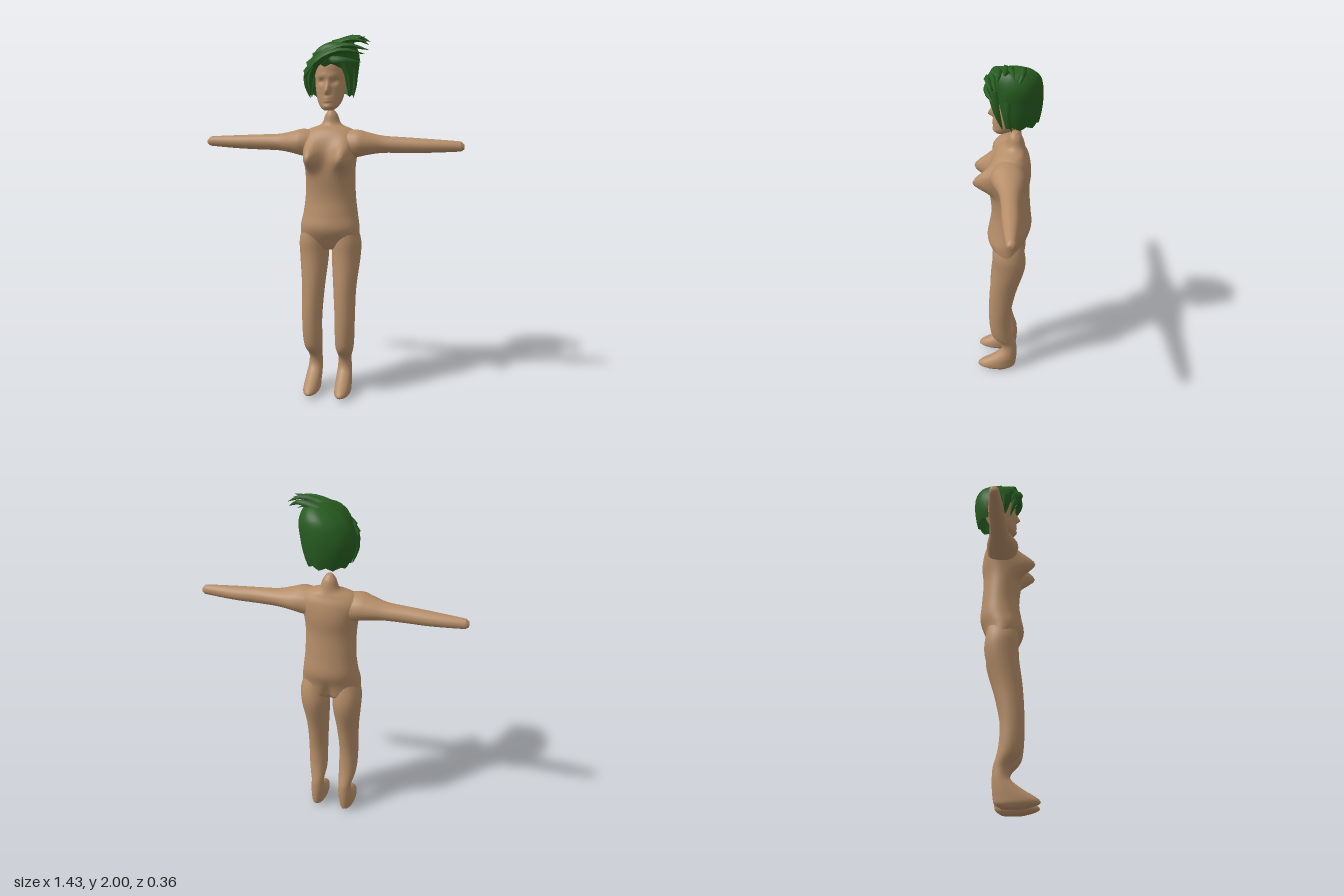
import * as THREE from 'three';

const skin = new THREE.MeshStandardMaterial({ color: 0xb58d68 });
skin.name = 'skin';
const green = new THREE.MeshStandardMaterial({ color: 0x275c20, side: THREE.DoubleSide });
green.name = 'hairGreen';

const gauss = (d, s) => Math.exp(-(d * d) / (s * s));
const smooth = THREE.MathUtils.smoothstep;

// Smooth value between the rows of a section table
function sample(rows, f) {
  const i = Math.min(Math.floor(f), rows.length - 2), t = f - i;
  const at = (k) => rows[Math.max(0, Math.min(rows.length - 1, k))];
  return rows[0].map((_, c) => {
    const [a, b, d, e] = [at(i - 1)[c], at(i)[c], at(i + 1)[c], at(i + 2)[c]];
    return b + 0.5 * t * (d - a + t * (2 * a - 5 * b + 4 * d - e + t * (3 * (b - d) + e - a)));
  });
}

// Loft of ellipses going up y; each row is [y, centreX, radiusX, centreZ, radiusZ]
function loft(rows, { segs = 24, steps = 4, rule = null, bottom = true } = {}) {
  const pos = [], idx = [], n = (rows.length - 1) * steps;
  const p = new THREE.Vector3();
  for (let j = 0; j <= n; j++) {
    const [y, cx, rx, cz, rz] = sample(rows, j / steps);
    for (let i = 0; i < segs; i++) {
      const a = (i / segs) * Math.PI * 2;
      p.set(cx + rx * Math.cos(a), y, cz + rz * Math.sin(a));
      if (rule) rule(p, Math.sin(a), a);
      pos.push(p.x, p.y, p.z);
    }
  }
  for (let j = 0; j < n; j++) for (let i = 0; i < segs; i++) {
    const a = j * segs + i, b = j * segs + (i + 1) % segs;
    idx.push(a, a + segs, b, b, a + segs, b + segs);
  }
  // end caps
  const cap = (row, ring, up) => {
    const c = pos.length / 3;
    pos.push(row[1], row[0], row[3]);
    for (let i = 0; i < segs; i++) {
      const a = ring * segs + i, b = ring * segs + (i + 1) % segs;
      if (up) idx.push(c, b, a); else idx.push(c, a, b);
    }
  };
  if (bottom) cap(rows[0], 0, false);
  cap(rows[rows.length - 1], n, true);
  const g = new THREE.BufferGeometry();
  g.setAttribute('position', new THREE.Float32BufferAttribute(pos, 3));
  g.setIndex(idx);
  g.computeVertexNormals();
  return g;
}

// Copy reflected to the other side, with faces turned back outward
function mirror(geo) {
  const g = geo.clone().scale(-1, 1, 1), ix = g.index;
  for (let i = 0; i < ix.count; i += 3) {
    const a = ix.getX(i);
    ix.setX(i, ix.getX(i + 1));
    ix.setX(i + 1, a);
  }
  g.computeVertexNormals();
  return g;
}

// Tapering lock of hair along a curve
function lock(points, r) {
  const n = 8, sides = 5;
  const curve = new THREE.CatmullRomCurve3(points.map((q) => new THREE.Vector3(...q)));
  const g = new THREE.TubeGeometry(curve, n, r, sides, false);
  const P = g.attributes.position, v = new THREE.Vector3();
  for (let j = 0; j <= n; j++) {
    const c = curve.getPointAt(j / n);
    const k = Math.pow(1 - j / n, 0.7);
    for (let i = 0; i <= sides; i++) {
      const m = j * (sides + 1) + i;
      v.fromBufferAttribute(P, m).sub(c).multiplyScalar(k).add(c);
      P.setXYZ(m, v.x, v.y, v.z);
    }
  }
  g.computeVertexNormals();
  return g;
}

export function createModel() {
  const model = new THREE.Group();
  const add = (name, geo, mat = skin, parent = model) => {
    const m = new THREE.Mesh(geo, mat);
    m.name = name;
    parent.add(m);
  };

  // Torso with neck stump; the rule shapes chest, navel line and seat
  add('torso', loft([
    [0.85, 0, 0.06, -0.01, 0.05],
    [0.89, 0, 0.155, -0.015, 0.08],
    [0.97, 0, 0.165, -0.005, 0.108],
    [1.05, 0, 0.152, -0.022, 0.115],
    [1.15, 0, 0.14, -0.025, 0.105],
    [1.28, 0, 0.138, -0.015, 0.107],
    [1.38, 0, 0.148, -0.02, 0.11],
    [1.46, 0, 0.165, -0.025, 0.095],
    [1.505, 0, 0.125, -0.03, 0.072],
    [1.535, 0, 0.056, -0.045, 0.046],
    [1.585, 0, 0.034, -0.045, 0.034],
    [1.612, 0, 0.014, -0.042, 0.014],
  ], {
    segs: 48, steps: 5, rule: (p) => {
      const y = p.y, front = smooth(p.z, -0.02, 0.04);
      const chest = gauss(y - 1.36, y < 1.36 ? 0.055 : 0.075);
      p.z += 0.105 * front * chest * gauss(Math.abs(p.x) - 0.092, 0.046);
      if (p.z < -0.05) p.z += 0.03 * gauss(p.x, 0.025) * gauss(y - 0.89, 0.07);
    },
  }));

  // Legs with feet
  const leg = loft([
    [0.005, 0.09, 0.03, 0.04, 0.06],
    [0.025, 0.09, 0.044, 0.058, 0.108],
    [0.05, 0.09, 0.046, 0.054, 0.112],
    [0.1, 0.088, 0.044, 0.012, 0.075],
    [0.15, 0.086, 0.04, -0.018, 0.046],
    [0.21, 0.086, 0.038, -0.016, 0.044],
    [0.27, 0.09, 0.05, 0.018, 0.06],
    [0.34, 0.093, 0.055, 0.033, 0.062],
    [0.46, 0.094, 0.057, 0.037, 0.064],
    [0.63, 0.09, 0.064, 0.018, 0.076],
    [0.8, 0.091, 0.08, -0.015, 0.09],
    [0.9, 0.093, 0.08, -0.015, 0.09],
    [0.99, 0.085, 0.06, -0.01, 0.075],
  ]);
  add('leftLeg', leg);
  add('rightLeg', mirror(leg));

  // Outstretched arms, lofted upright and then laid along x
  const arm = loft([
    [0.05, -1.42, 0.08, -0.02, 0.07],
    [0.15, -1.435, 0.074, -0.01, 0.088],
    [0.21, -1.435, 0.06, -0.015, 0.078],
    [0.29, -1.432, 0.046, -0.024, 0.055],
    [0.4, -1.43, 0.042, -0.028, 0.045],
    [0.53, -1.428, 0.037, -0.033, 0.041],
    [0.68, -1.428, 0.028, -0.037, 0.026],
    [0.7, -1.427, 0.024, -0.037, 0.023],
    [0.715, -1.425, 0.012, -0.036, 0.014],
  ], { segs: 20 }).rotateZ(-Math.PI / 2);
  add('leftArm', arm);
  add('rightArm', mirror(arm));

  // Head; the rule forms brow, eye sockets, nose and lips
  add('head', loft([
    [1.612, 0, 0.025, 0.03, 0.025],
    [1.63, 0, 0.047, 0.014, 0.05],
    [1.66, 0, 0.065, -0.005, 0.068],
    [1.71, 0, 0.077, -0.02, 0.081],
    [1.77, 0, 0.084, -0.032, 0.092],
    [1.85, 0, 0.084, -0.037, 0.094],
    [1.91, 0, 0.062, -0.04, 0.065],
    [1.935, 0, 0.02, -0.04, 0.02],
  ], {
    segs: 72, steps: 7, rule: (p, s) => {
      if (s < 0.2) return;
      const y = p.y, x = Math.abs(p.x);
      p.z += 0.03 * gauss(x, 0.012) * gauss(y - 1.712, y < 1.712 ? 0.013 : 0.04);
      p.z -= 0.015 * gauss(x - 0.035, 0.02) * gauss(y - 1.762, 0.014);
      p.z += 0.006 * gauss(x - 0.03, 0.035) * gauss(y - 1.79, 0.012);
      p.z += 0.008 * gauss(x, 0.022) * (gauss(y - 1.677, 0.007) + gauss(y - 1.661, 0.007));
      p.z += 0.006 * gauss(x, 0.025) * gauss(y - 1.63, 0.014);
    },
  }));

  // Hair cap: the hem is raised over the face
  const hair = new THREE.Group();
  hair.name = 'hair';
  model.add(hair);
  add('hairCap', loft([
    [1.68, 0.004, 0.112, -0.05, 0.112],
    [1.74, 0.002, 0.13, -0.05, 0.125],
    [1.81, 0.005, 0.138, -0.05, 0.131],
    [1.88, 0.022, 0.128, -0.048, 0.128],
    [1.93, 0.04, 0.098, -0.045, 0.112],
    [1.965, 0.06, 0.055, -0.04, 0.07],
    [1.975, 0.065, 0.02, -0.04, 0.025],
  ], {
    segs: 40, bottom: false, rule: (p, s, a) => {
      const hem = 1.685 + 0.16 * smooth(s, 0.4, 0.9) + 0.008 * Math.sin(a * 10);
      p.y = hem + (p.y - 1.68) / 0.295 * (1.975 - hem);
    },
  }), green, hair);

  // Swept locks: fringe, crown tips and side strands
  [
    [[[-0.11, 1.8, 0.04], [-0.03, 1.88, 0.085], [0.08, 1.92, 0.085], [0.2, 1.9, 0.06]], 0.03],
    [[[-0.1, 1.84, 0.03], [0, 1.91, 0.07], [0.1, 1.945, 0.06], [0.22, 1.92, 0.045]], 0.03],
    [[[-0.07, 1.88, 0.02], [0.02, 1.94, 0.04], [0.12, 1.975, 0.03], [0.21, 1.96, 0.04]], 0.032],
    [[[-0.03, 1.92, -0.03], [0.06, 1.965, -0.02], [0.14, 1.99, -0.03], [0.21, 1.965, -0.045]], 0.03],
    [[[0, 1.93, -0.08], [0.07, 1.965, -0.08], [0.14, 1.98, -0.08], [0.2, 1.95, -0.06]], 0.028],
    [[[0.02, 1.95, 0], [0.1, 1.975, 0], [0.19, 1.99, 0.005]], 0.025],
    [[[0.02, 1.87, 0.08], [0.09, 1.87, 0.09], [0.18, 1.86, 0.06]], 0.024],
    [[[-0.05, 1.87, 0.07], [-0.1, 1.83, 0.06], [-0.135, 1.77, 0.04]], 0.022],
    [[[-0.06, 1.86, 0.07], [-0.09, 1.79, 0.06], [-0.1, 1.68, 0.03]], 0.026],
    [[[0.09, 1.87, 0.06], [0.115, 1.79, 0.045], [0.115, 1.68, 0.015]], 0.028],
    [[[-0.12, 1.82, 0], [-0.128, 1.75, 0], [-0.11, 1.67, -0.02]], 0.02],
    [[[0.13, 1.84, -0.01], [0.135, 1.76, -0.01], [0.12, 1.67, -0.03]], 0.02],
  ].forEach(([points, r], i) => add('hairLock' + (i + 1), lock(points, r), green, hair));

  return model;
}
